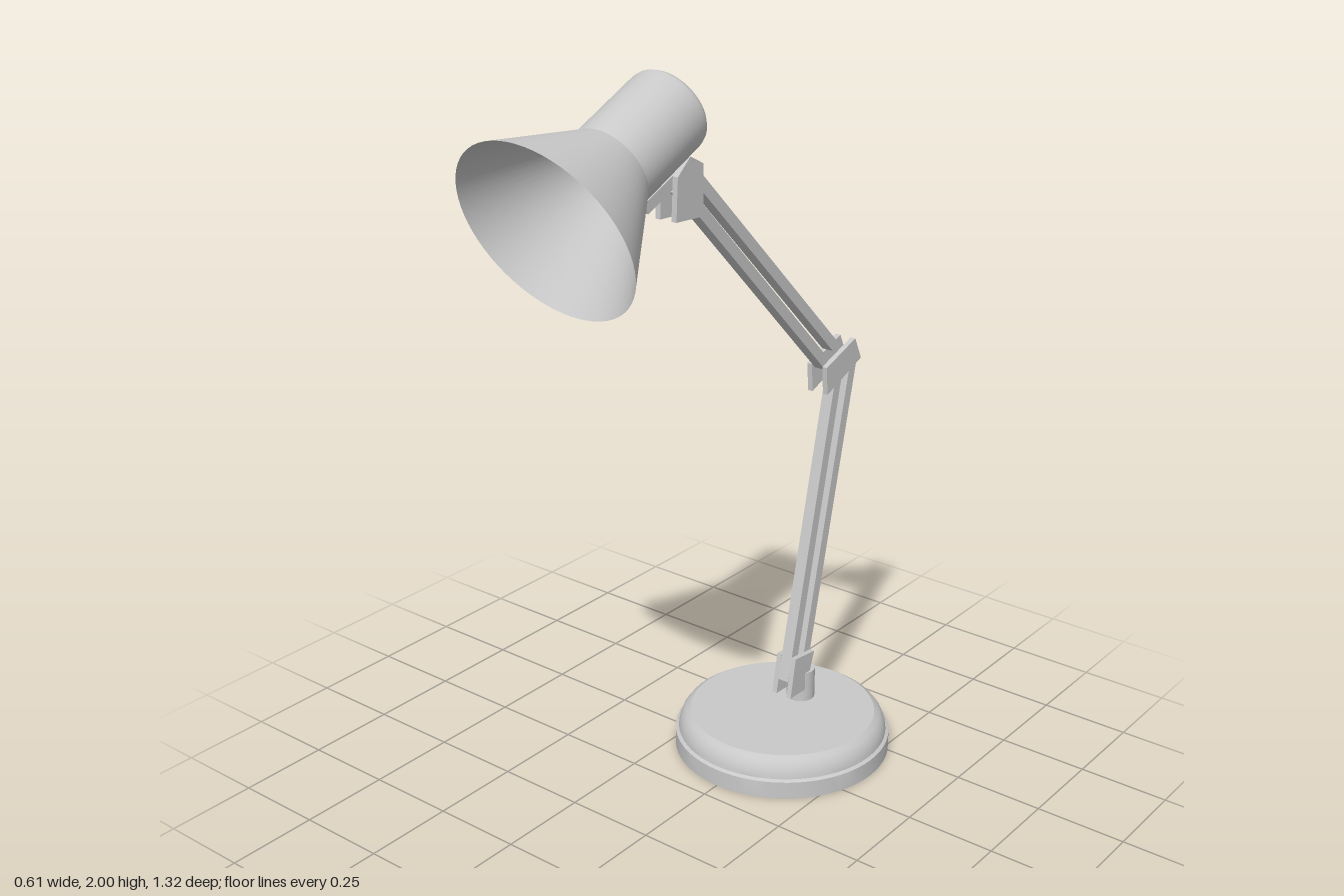
import * as THREE from 'three';
import { toCreasedNormals } from 'three/addons/utils/BufferGeometryUtils.js';

const grey = new THREE.MeshStandardMaterial({ color: 0xc8c8c8 });
grey.name = 'grey metal';
const shadeGrey = grey.clone();
shadeGrey.name = 'grey metal, thin sheet';
shadeGrey.side = THREE.DoubleSide;

const BAR = 0.034; // bar width in x
const PLATE = 0.015; // bracket plate thickness

function lathe(name, profile, material) {
  const points = profile.map(([r, y]) => new THREE.Vector2(r, y));
  const geometry = toCreasedNormals(new THREE.LatheGeometry(points, 64), 0.4);
  const mesh = new THREE.Mesh(geometry, material);
  mesh.name = name;
  return mesh;
}

// Square bar between two [z, y] points in the x = 0 plane
function bar(name, [z0, y0], [z1, y1], thick = 0.03) {
  const length = Math.hypot(z1 - z0, y1 - y0);
  const mesh = new THREE.Mesh(new THREE.BoxGeometry(BAR, length, thick), grey);
  mesh.position.set(0, (y0 + y1) / 2, (z0 + z1) / 2);
  mesh.rotation.x = Math.atan2(z1 - z0, y1 - y0);
  mesh.name = name;
  return mesh;
}

// Pair of side plates cut to a [z, y] outline, clamping the bars
function bracket(name, outline) {
  const group = new THREE.Group();
  group.name = name;
  const shape = new THREE.Shape(outline.map(([z, y]) => new THREE.Vector2(-z, y)));
  for (const x of [BAR / 2, -BAR / 2 - PLATE]) {
    const geometry = new THREE.ExtrudeGeometry(shape, { depth: PLATE, bevelEnabled: false });
    geometry.rotateY(Math.PI / 2);
    geometry.translate(x, 0, 0);
    const plate = new THREE.Mesh(geometry, grey);
    plate.name = name + 'Plate';
    group.add(plate);
  }
  return group;
}

export function createModel() {
  const lamp = new THREE.Group();
  lamp.name = 'deskLamp';

  // Weighted foot with a stepped, rounded rim
  const base = lathe('base', [
    [0, 0], [0.303, 0], [0.303, 0.05], [0.294, 0.055], [0.292, 0.068],
    [0.286, 0.085], [0.275, 0.1], [0.26, 0.11], [0, 0.11],
  ], grey);
  base.position.z = -0.357;
  lamp.add(base);

  const post = new THREE.Mesh(new THREE.CylinderGeometry(0.04, 0.04, 0.1, 32), grey);
  post.name = 'post';
  post.position.set(0, 0.15, -0.445);
  lamp.add(post);

  // Parallel arm bars
  lamp.add(
    bar('lowerArmFront', [-0.373, 0.19], [-0.571, 1.06]),
    bar('lowerArmBack', [-0.438, 0.21], [-0.637, 1.07]),
    bar('upperArmTop', [0.075, 1.757], [-0.547, 1.145]),
    bar('upperArmBottom', [0.1, 1.712], [-0.514, 1.1]),
    bar('shadeStub', [0.105, 1.75], [0.235, 1.693]),
  );

  // Hinge brackets
  lamp.add(
    bracket('footBracket', [[-0.352, 0.15], [-0.373, 0.265], [-0.463, 0.255], [-0.425, 0.147]]),
    bracket('elbowBracket', [[-0.495, 1.023], [-0.489, 1.102], [-0.622, 1.15], [-0.653, 1.086]]),
    bracket('headBracket', [[0.146, 1.643], [0.14, 1.75], [0.093, 1.79], [0.045, 1.765], [0.045, 1.637]]),
  );

  // Hollow shade: cap, sleeve and flared cone, opening forward and down
  const shade = lathe('shade', [
    [0, 0], [0.086, 0], [0.098, 0.006], [0.106, 0.016], [0.109, 0.03],
    [0.109, 0.25], [0.243, 0.487],
  ], shadeGrey);
  shade.position.set(0, 1.91, 0.118);
  shade.rotation.x = 2.006;
  lamp.add(shade);

  return lamp;
}
